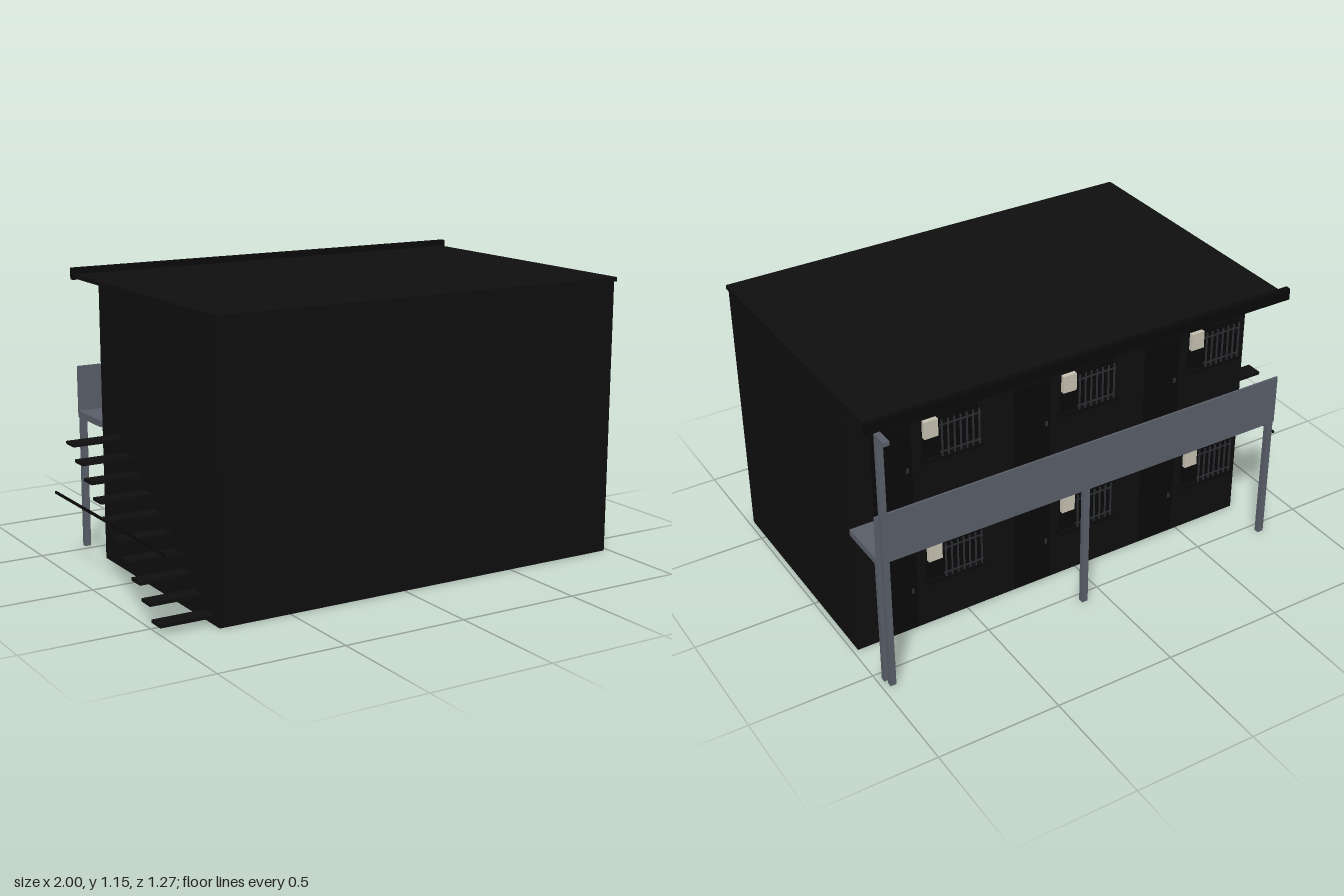
import * as THREE from 'three';

const mat = (name, color) => {
  const m = new THREE.MeshStandardMaterial({ color });
  m.name = name;
  return m;
};

export function createModel() {
  const wall = mat('wall black', 0x0e0e0e);
  const trim = mat('trim black', 0x090909);
  const steel = mat('grey steel', 0x585d68);
  const bars = mat('dark grey bars', 0x2a2c30);
  const cream = mat('cream casing', 0xc4c0b0);

  const model = new THREE.Group();
  model.name = 'apartmentBlock';

  // Box given by its minimum and maximum on each axis
  const box = (parent, name, material, x0, x1, y0, y1, z0, z1) => {
    const mesh = new THREE.Mesh(new THREE.BoxGeometry(x1 - x0, y1 - y0, z1 - z0), material);
    mesh.position.set((x0 + x1) / 2, (y0 + y1) / 2, (z0 + z1) / 2);
    mesh.name = name;
    parent.add(mesh);
    return mesh;
  };

  // Main block, overhanging roof and gutter
  box(model, 'building', wall, -0.79, 0.98, 0, 1.105, -0.34, 0.625);
  box(model, 'roof', wall, -0.8, 0.985, 1.105, 1.122, -0.555, 0.635);
  box(model, 'gutter', trim, -0.81, 1.0, 1.1, 1.147, -0.568, -0.546);

  // Balcony with parapet, posts and downpipe
  const balcony = new THREE.Group();
  balcony.name = 'balcony';
  model.add(balcony);
  box(balcony, 'balconyFloor', steel, -0.8, 0.98, 0.54, 0.567, -0.555, -0.34);
  box(balcony, 'parapet', steel, -0.8, 0.98, 0.567, 0.75, -0.555, -0.547);
  for (const x of [-0.785, 0.09, 0.965]) {
    box(balcony, 'post', steel, x - 0.013, x + 0.013, 0, 0.54, -0.551, -0.53);
  }
  box(model, 'downpipe', steel, 0.946, 0.97, 0, 1.105, -0.586, -0.565);
  box(model, 'downpipeSpout', steel, 0.946, 0.97, 1.087, 1.105, -0.636, -0.586);

  // Six identical flats: door, barred window and air conditioner
  for (const y of [0, 0.552]) {
    for (let i = 0; i < 3; i++) {
      const flat = new THREE.Group();
      flat.name = 'flatFront';
      flat.position.set(-i * 0.594, y, 0);
      model.add(flat);
      box(flat, 'door', trim, 0.72, 0.88, 0.012, 0.383, -0.349, -0.34);
      box(flat, 'doorHandle', bars, 0.735, 0.745, 0.18, 0.2, -0.353, -0.349);
      box(flat, 'windowPane', trim, 0.44, 0.675, 0.215, 0.383, -0.349, -0.34);
      box(flat, 'windowSill', trim, 0.43, 0.685, 0.207, 0.216, -0.373, -0.34);
      box(flat, 'airConditioner', cream, 0.617, 0.675, 0.31, 0.383, -0.367, -0.349);
      for (let b = 0; b < 7; b++) {
        const x = 0.446 + b * 0.026;
        box(flat, 'windowBar', bars, x - 0.003, x + 0.003, 0.216, 0.37, -0.368, -0.363);
      }
      for (const h of [0.235, 0.35]) {
        box(flat, 'windowCrossbar', bars, 0.44, 0.612, h - 0.003, h + 0.003, -0.367, -0.364);
      }
    }
  }

  // Open outside stair with a level rail
  const stair = new THREE.Group();
  stair.name = 'outsideStair';
  model.add(stair);
  for (let i = 0; i < 10; i++) {
    const y = 0.03 + i * 0.0555;
    const z = 0.54 - i * 0.08;
    box(stair, 'tread', wall, -0.998, -0.79, y - 0.006, y + 0.006, z - 0.035, z + 0.035);
  }
  box(stair, 'stairRail', trim, -1.0, -0.994, 0.298, 0.308, -0.34, 0.62);

  return model;
}
